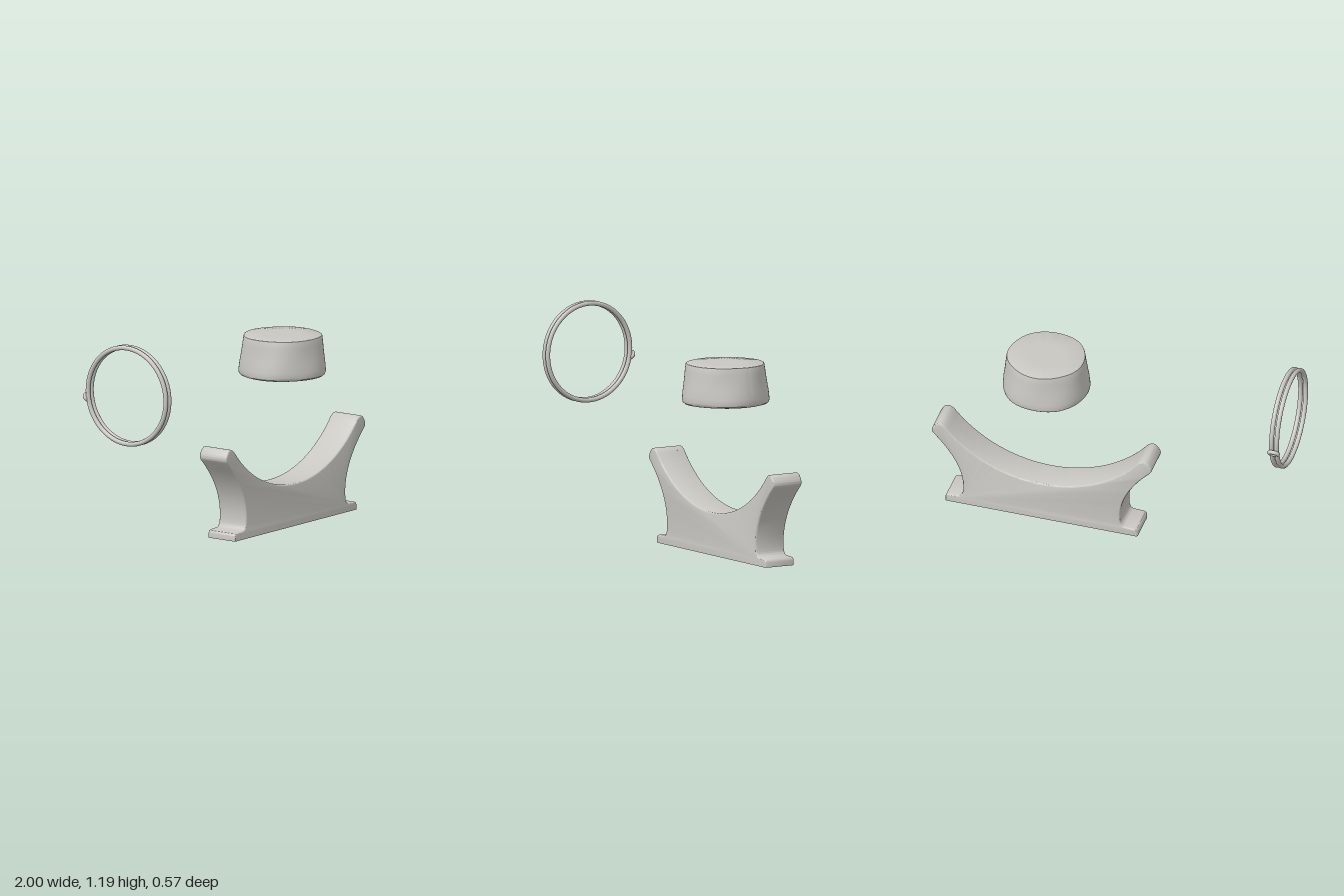
import * as THREE from 'three';
import { toCreasedNormals } from 'three/addons/utils/BufferGeometryUtils.js';

const gray = new THREE.MeshStandardMaterial({ color: 0xc8c7c2 });
gray.name = 'warm gray';

function part(name, geometry) {
  const mesh = new THREE.Mesh(geometry, gray);
  mesh.name = name;
  return mesh;
}

// Cradle stand: half outline, mirrored and extruded with softened edges
function cradle() {
  const bevel = 0.008, depth = 0.18;
  const half = new THREE.Path();
  half.moveTo(0.535, -0.01);
  half.lineTo(0.535, 0.025);
  half.quadraticCurveTo(0.533, 0.043, 0.515, 0.044);
  half.lineTo(0.465, 0.046);
  half.quadraticCurveTo(0.443, 0.05, 0.439, 0.075);
  half.bezierCurveTo(0.422, 0.2, 0.49, 0.32, 0.6, 0.43);
  half.bezierCurveTo(0.617, 0.447, 0.614, 0.463, 0.602, 0.48);
  half.bezierCurveTo(0.585, 0.51, 0.56, 0.51, 0.535, 0.485);
  half.absarc(0, 0.919, 0.689, Math.atan2(-0.434, 0.535), -Math.PI / 2, true);
  const right = half.getPoints(20);
  const left = right.slice(0, -1).reverse().map(p => new THREE.Vector2(-p.x, p.y));
  const geo = new THREE.ExtrudeGeometry(new THREE.Shape([...right, ...left]), {
    depth: depth - 2 * bevel, bevelEnabled: true, bevelThickness: bevel,
    bevelSize: bevel, bevelOffset: -bevel, bevelSegments: 3
  });
  geo.translate(0.387, 0, 0.01 - depth / 2 + bevel);
  // flat underside with crisp edges
  const pos = geo.attributes.position;
  for (let i = 0; i < pos.count; i++) pos.setY(i, Math.max(0, pos.getY(i)));
  return part('cradleStand', toCreasedNormals(geo, 0.6));
}

// Tapered plug: lathe with faint twisted lobes
function plug() {
  const profile = [[0, 0], [0.1, 0], [0.21, 0], [0.222, 0.003], [0.23, 0.01], [0.233, 0.022],
    [0.231, 0.045], [0.227, 0.08], [0.222, 0.11], [0.218, 0.14], [0.214, 0.175],
    [0.21, 0.208], [0.208, 0.214], [0.204, 0.216], [0.1, 0.216], [0, 0.216]];
  const geo = new THREE.LatheGeometry(profile.map(([r, y]) => new THREE.Vector2(r, y)), 72);
  const pos = geo.attributes.position;
  for (let i = 0; i < pos.count; i++) {
    const x = pos.getX(i), y = pos.getY(i), z = pos.getZ(i);
    const k = 1 + 0.01 * Math.sin(5 * Math.atan2(z, x) + 14 * y);
    pos.setXYZ(i, x * k, y, z * k);
  }
  geo.translate(0.387, 0.812, 0.01);
  const mesh = part('taperedPlug', toCreasedNormals(geo, 0.6));
  return mesh;
}

// Closed tilted loop gripping both hoops
function clasp() {
  const points = [];
  for (let i = 0; i < 16; i++) {
    const a = i / 16 * Math.PI * 2;
    points.push(new THREE.Vector3(0.024 * Math.cos(a), 0.015 * Math.sin(a), -0.011 * Math.sin(a)));
  }
  const path = new THREE.CatmullRomCurve3(points, true);
  const mesh = part('hoopClasp', new THREE.TubeGeometry(path, 40, 0.011, 12, true));
  mesh.position.set(-0.963, 0.875, -0.261);
  return mesh;
}

export function createModel() {
  const model = new THREE.Group();
  model.name = 'cradlePlugAndHoops';
  model.add(cradle(), plug());

  // Twin hoops standing upright side by side
  const hoops = new THREE.Group();
  hoops.name = 'twinHoops';
  for (const side of [-1, 1]) {
    const hoop = part(side < 0 ? 'outerHoop' : 'innerHoop', new THREE.TorusGeometry(0.26, 0.0125, 16, 96));
    hoop.rotation.y = Math.PI / 2;
    hoop.position.set(-0.963 + side * 0.0145, 0.916, 0.01);
    hoops.add(hoop);
  }
  hoops.add(clasp());
  model.add(hoops);
  return model;
}
